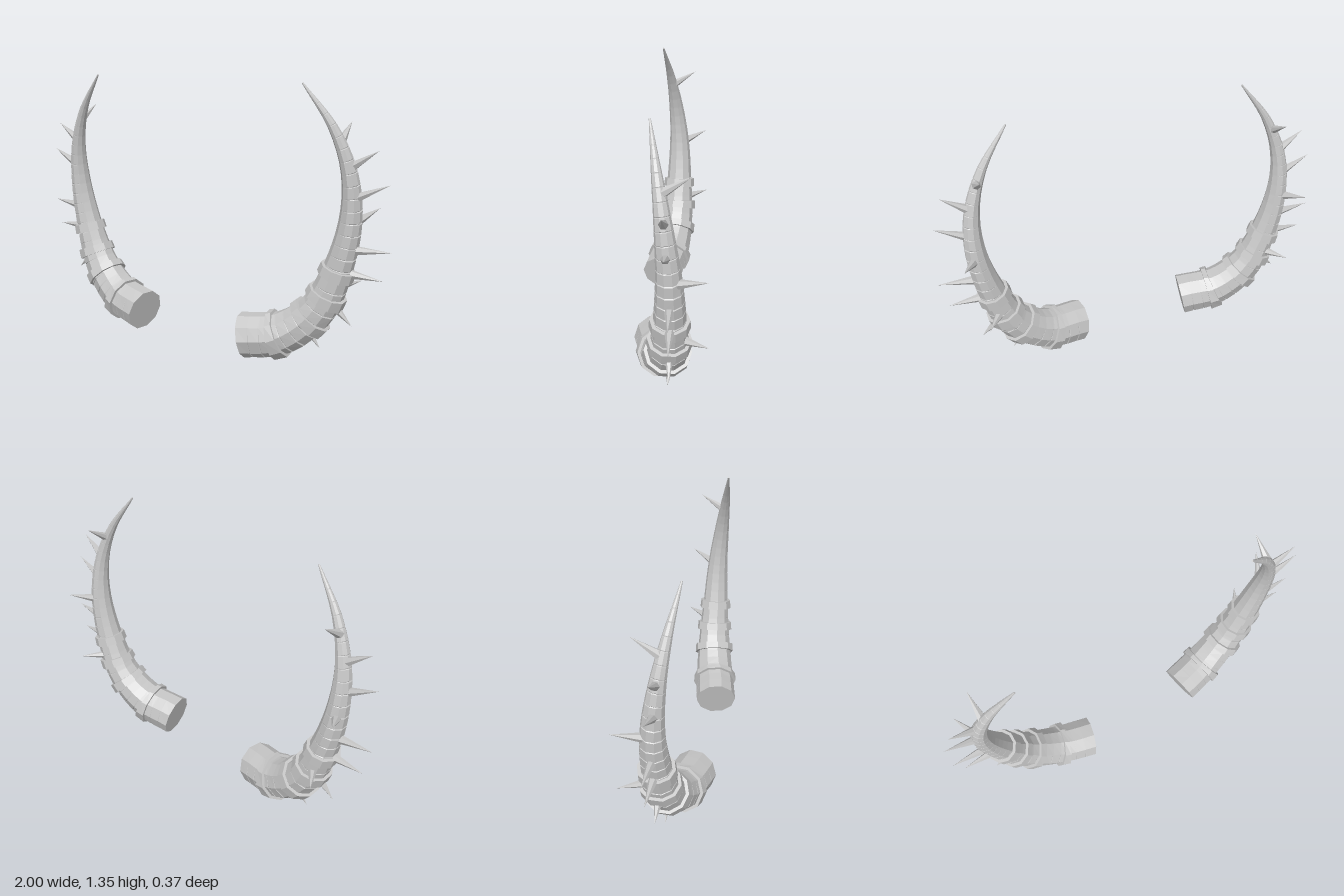
import * as THREE from 'three';

const SIDES = 10;
const V = (x, y, z) => new THREE.Vector3(x, y, z);

// Horn centre line (x, y, z, radius), base to tip, for the +x horn
const SPINE = [
  [0.303, 0.108, 0.072, 0.112], [0.495, 0.148, 0.030, 0.105], [0.655, 0.285, -0.003, 0.090],
  [0.748, 0.50, -0.014, 0.069], [0.80, 0.75, -0.012, 0.052], [0.79, 0.965, 0.008, 0.037],
  [0.718, 1.16, 0.036, 0.022], [0.58, 1.35, 0.07, 0.004],
];

// Spikes: root on the horn, then tip
const SPIKES = [
  [[0.61, 0.19, 0.0], [0.683, 0.10, 0.0]],
  [[0.745, 0.32, -0.01], [0.832, 0.24, -0.012]],
  [[0.81, 0.492, -0.015], [0.967, 0.484, -0.015]],
  [[0.83, 0.607, -0.015], [0.998, 0.623, -0.015]],
  [[0.83, 0.855, 0.0], [0.975, 0.926, 0.0]],
  [[0.805, 0.995, 0.008], [0.922, 1.073, 0.01]],
  [[0.74, 0.402, -0.07], [0.81, 0.412, -0.185]],
  [[0.82, 0.735, -0.05], [0.88, 0.78, -0.175]],
  [[0.75, 1.105, 0.015], [0.75, 1.178, -0.105]],
];

const BAND_HEIGHTS = [0.138, 0.25, 0.365, 0.492];

function radiusAt(y) {
  if (y <= SPINE[0][1]) return SPINE[0][3];
  for (let i = 1; i < SPINE.length; i++) {
    const [, y0, , r0] = SPINE[i - 1], [, y1, , r1] = SPINE[i];
    if (y <= y1) return r0 + (r1 - r0) * (y - y0) / (y1 - y0);
  }
  return SPINE[SPINE.length - 1][3];
}

// Skins rings {u, grow, groove} set along the curve; grooves only cut the outer side
function loft(curve, side, rings, caps) {
  const pos = [], index = [];
  for (const { u, grow = 0, groove = 0 } of rings) {
    const c = curve.getPointAt(u), t = curve.getTangentAt(u);
    const out = V(0, 0, 1).cross(t).multiplyScalar(-side).normalize();
    const across = t.clone().cross(out);
    const r = radiusAt(c.y) + grow;
    const wide = 1 + 0.07 * Math.min(1, u * 2);
    for (let j = 0; j < SIDES; j++) {
      const a = (j + 0.5) / SIDES * Math.PI * 2;
      const rr = r * (1 - groove * Math.max(0, Math.cos(a) + 0.25));
      const p = c.clone().addScaledVector(out, Math.cos(a) * rr)
        .addScaledVector(across, Math.sin(a) * rr * wide);
      pos.push(p.x, p.y, p.z);
    }
  }
  const last = (rings.length - 1) * SIDES;
  for (let i = 0; i < last; i += SIDES) {
    for (let j = 0; j < SIDES; j++) {
      const k = (j + 1) % SIDES;
      index.push(i + j, i + k, i + SIDES + k, i + j, i + SIDES + k, i + SIDES + j);
    }
  }
  if (caps) {
    for (let j = 1; j < SIDES - 1; j++) {
      index.push(0, j + 1, j, last, last + j, last + j + 1);
    }
  }
  const geo = new THREE.BufferGeometry();
  geo.setAttribute('position', new THREE.Float32BufferAttribute(pos, 3));
  geo.setIndex(index);
  const flat = geo.toNonIndexed();
  flat.computeVertexNormals();
  return flat;
}

// Curve parameter at a given height (the horn always rises)
function paramAtHeight(curve, y) {
  let lo = 0, hi = 1;
  for (let i = 0; i < 24; i++) {
    const mid = (lo + hi) / 2;
    if (curve.getPointAt(mid).y < y) lo = mid; else hi = mid;
  }
  return lo;
}

function buildHorn(side, material) {
  const horn = new THREE.Group();
  const add = (name, geo) => {
    const mesh = new THREE.Mesh(geo, material);
    mesh.name = name;
    horn.add(mesh);
    return mesh;
  };
  const curve = new THREE.CatmullRomCurve3(SPINE.map(([x, y, z]) => V(x * side, y, z)));

  // Tapering body with narrow grooves across the outer side
  const rings = [{ u: 0 }];
  const segments = 28;
  for (let i = 1; i < segments; i++) {
    const u = i / segments;
    rings.push({ u: u - 0.002 }, { u, groove: 0.07 }, { u: u + 0.002 });
  }
  rings.push({ u: 1 });
  add('hornBody', loft(curve, side, rings, true));

  // Raised bands around the lower half
  for (const y of BAND_HEIGHTS) {
    const u = paramAtHeight(curve, y), h = 0.015;
    add('band', loft(curve, side, [
      { u: u - h, grow: -0.01 }, { u: u - h, grow: 0.015 },
      { u: u + h, grow: 0.015 }, { u: u + h, grow: -0.01 },
    ], false));
  }

  // Spikes on the outer side and the back
  for (const [[x0, y0, z0], [x1, y1, z1]] of SPIKES) {
    const root = V(x0 * side, y0, z0), tip = V(x1 * side, y1, z1);
    const dir = tip.clone().sub(root);
    const spike = add('spike', new THREE.ConeGeometry(0.022, dir.length(), 6));
    spike.position.copy(root).add(tip).multiplyScalar(0.5);
    spike.quaternion.setFromUnitVectors(V(0, 1, 0), dir.normalize());
  }
  return horn;
}

export function createModel() {
  const model = new THREE.Group();
  model.name = 'spikedHorns';
  const hornGrey = new THREE.MeshStandardMaterial({ color: 0xc6c6c6, flatShading: true });
  hornGrey.name = 'horn grey';
  for (const side of [1, -1]) {
    const horn = buildHorn(side, hornGrey);
    horn.name = side > 0 ? 'leftHorn' : 'rightHorn';
    model.add(horn);
  }
  return model;
}
